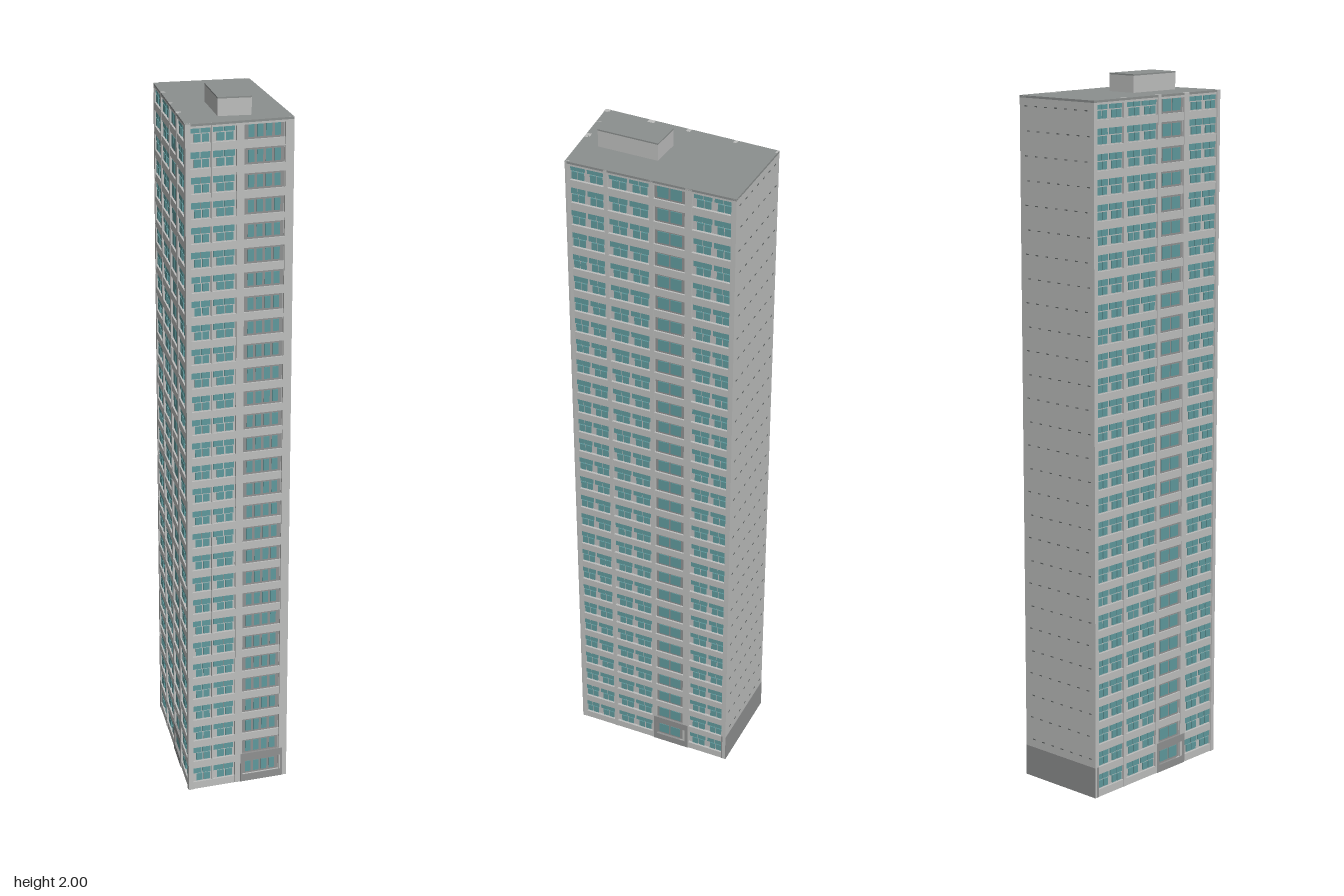
import * as THREE from 'three';
import { mergeGeometries } from 'three/addons/utils/BufferGeometryUtils.js';

const mat = (name, color) => new THREE.MeshStandardMaterial({ name, color });

const FLOORS = 29, PITCH = 0.067, FIRST = 0.045, ROOF = 1.95;
// Footprint corners [x, z]: front left edge, front right edge, back right, back left
const D = [-0.154, 0.25], C = [0.142, 0.235], B = [0.153, -0.24], A = [-0.118, -0.253];

export function createModel() {
  const mats = {
    wall: mat('paleConcrete', 0xbdbebd),
    panel: mat('greyPanel', 0x8f9090),
    glass: mat('tealGlass', 0x5f999c),
    roof: mat('roofGrey', 0x8b8f8e),
    vent: mat('darkVent', 0x626665),
  };
  const tower = new THREE.Group();
  tower.name = 'towerBlock';

  // Vertical prism over a list of [x, z] corners
  function prism(name, corners, y0, y1, sx, sz, material) {
    const shape = new THREE.Shape(corners.map(([x, z]) => new THREE.Vector2(x * sx, -z * sz)));
    const geo = new THREE.ExtrudeGeometry(shape, { depth: y1 - y0, bevelEnabled: false });
    geo.rotateX(-Math.PI / 2).translate(0, y0, 0);
    const mesh = new THREE.Mesh(geo, material);
    mesh.name = name;
    tower.add(mesh);
  }

  // One facade running from P to Q, left to right as seen from outside
  function facade(name, P, Q, build) {
    const dx = Q[0] - P[0], dz = Q[1] - P[1], len = Math.hypot(dx, dz);
    const lists = {};
    // Box in facade space: u is a fraction of the length, z = 0 is the outer plane
    const add = (key, u0, u1, y0, y1, z0, z1) => {
      const g = new THREE.BoxGeometry((u1 - u0) * len, y1 - y0, z1 - z0);
      g.translate((u0 + u1) / 2 * len, (y0 + y1) / 2, (z0 + z1) / 2);
      (lists[key] ??= []).push(g);
    };
    build(add);
    const group = new THREE.Group();
    group.name = name;
    group.position.set(P[0], 0, P[1]);
    group.rotation.y = Math.atan2(-dz, dx);
    for (const key in lists) {
      const mesh = new THREE.Mesh(mergeGeometries(lists[key]), mats[key]);
      mesh.name = name + key[0].toUpperCase() + key.slice(1);
      group.add(mesh);
    }
    tower.add(group);
  }

  // Row of equal panes between u0 and u1
  function panes(add, u0, u1, n, gap, y0, y1, z) {
    const w = (u1 - u0) / n;
    for (let i = 0; i < n; i++)
      add('glass', u0 + i * w + gap / 2, u0 + (i + 1) * w - gap / 2, y0, y1, -0.012, z);
  }

  // Flat window: full-width top lights over narrower lower panes
  function flatWindow(add, u0, u1, c) {
    const w = u1 - u0;
    panes(add, u0, u1, 2, w * 0.05, c + 0.004, c + 0.021, -0.004);
    panes(add, u0 + w * 0.16, u1 - w * 0.04, 2, w * 0.07, c - 0.02, c + 0.001, -0.004);
  }

  // Window bays, piers and floor bands of a glazed facade
  function glazed(add, bays, panel, piers, panelPanes) {
    const [p0, p1] = panel;
    for (const [a, b] of piers) add('wall', a, b, 0, ROOF, -0.014, 0);
    for (let i = 0; i < FLOORS; i++) {
      const c = FIRST + i * PITCH;
      add('wall', 0, 1, i ? c - 0.045 : 0, c - 0.023, -0.014, -0.001);
      for (const [a, b] of bays) flatWindow(add, a, b, c);
      add('panel', p0, p1, c - 0.023, c + 0.022, -0.014, -0.006);
      const m = (p1 - p0) * 0.06;
      panes(add, p0 + m, p1 - m, panelPanes, (p1 - p0) * 0.07, c - 0.017, c + 0.016, -0.004);
    }
    add('wall', 0, 1, ROOF - 0.012, ROOF - 0.002, -0.014, -0.001);
    // Grey entrance surround on the ground floor
    const e0 = p0 - 0.02, e1 = Math.min(p1 + 0.04, 0.98);
    add('panel', e0, e1, 0, 0.022, -0.012, 0.001);
    add('panel', e0, e1, 0.068, 0.09, -0.012, 0.001);
    for (const u of [e0, e1 - 0.02]) add('panel', u, u + 0.02, 0, 0.09, -0.012, 0.001);
  }

  const front = add => glazed(add,
    [[0.047, 0.232], [0.252, 0.46]], [0.545, 0.915],
    [[0, 0.04], [0.236, 0.248], [0.47, 0.54], [0.92, 1]], 4);

  const side = add => glazed(add,
    [[0.015, 0.115], [0.125, 0.225], [0.255, 0.365], [0.375, 0.49], [0.75, 0.86], [0.87, 0.975]],
    [0.525, 0.7],
    [[0, 0.012], [0.229, 0.25], [0.495, 0.52], [0.705, 0.745], [0.979, 1]], 2);

  // Blind rear wall with rows of small vents over a darker base
  const back = add => {
    add('wall', 0, 1, 0.09, ROOF - 0.002, -0.014, 0);
    add('panel', 0, 1, 0, 0.09, -0.014, 0.001);
    for (let i = 1; i < FLOORS; i++)
      for (let k = 0; k < 7; k++) {
        const u = 0.07 + k * 0.135 + (i % 2) * 0.03;
        add('vent', u, u + 0.035, FIRST + i * PITCH, FIRST + i * PITCH + 0.003, -0.002, 0.001);
      }
  };

  // Recessed core and roof slab
  prism('core', [D, C, B, A], 0, ROOF - 0.004, 0.945, 0.97, mats.wall);
  prism('baseSlab', [D, C, B, A], 0, 0.004, 0.99, 0.99, mats.roof);
  prism('roofSlab', [D, C, B, A], ROOF - 0.006, ROOF, 1, 1, mats.roof);

  facade('frontFacade', D, C, front);
  facade('leftFacade', C, B, side);
  facade('backFacade', B, A, back);
  facade('rightFacade', A, D, side);

  // Rooftop plant room
  const house = [[-0.05, 0.18], [0.04, 0.187], [0.05, 0.015], [-0.04, 0.009]];
  prism('plantRoom', house, ROOF, 1.996, 1, 1, mats.wall);
  prism('plantRoomRoof', house, 1.996, 2, 1, 1, mats.roof);

  return tower;
}
